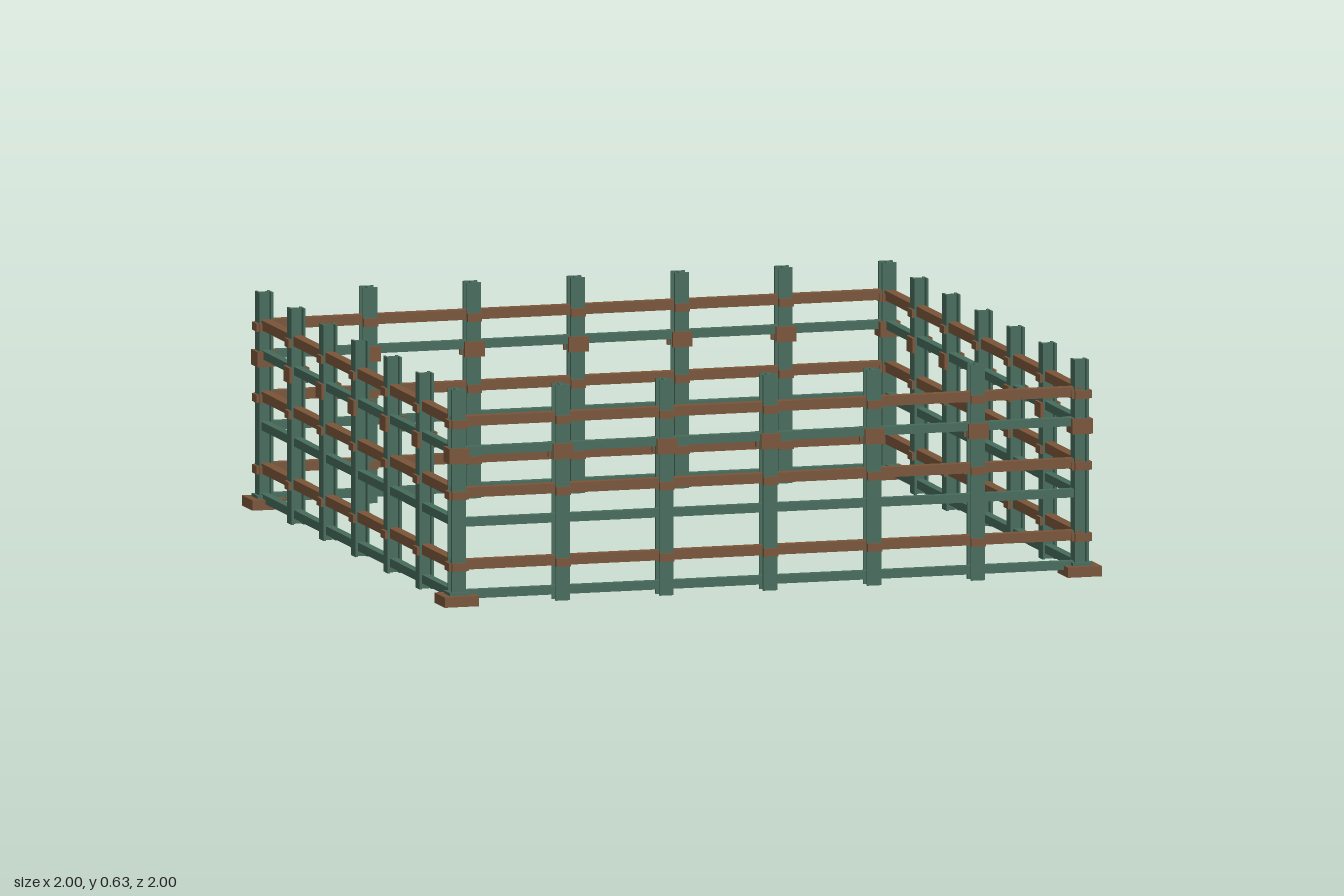
import * as THREE from 'three';

const green = new THREE.MeshStandardMaterial({ name: 'green paint', color: 0x456b5b });
const brown = new THREE.MeshStandardMaterial({ name: 'rust brown', color: 0x7a5438 });

const HALF = 0.948;       // distance from centre to each fence line
const STEP = HALF / 3;    // post spacing
const POST = 0.043;       // post section size
const POST_H = 0.635;

function box(name, mat, w, h, d, x, y, z) {
  const mesh = new THREE.Mesh(new THREE.BoxGeometry(w, h, d), mat);
  mesh.name = name;
  mesh.position.set(x, y, z);
  return mesh;
}

// H-section post with its flanges facing along z
function makePost() {
  const a = POST / 2, t = 0.007, w = 0.0045;
  const s = new THREE.Shape([
    [-a, -a], [a, -a], [a, -a + t], [w, -a + t], [w, a - t], [a, a - t],
    [a, a], [-a, a], [-a, a - t], [-w, a - t], [-w, -a + t], [-a, -a + t],
  ].map(([x, y]) => new THREE.Vector2(x, y)));
  const geo = new THREE.ExtrudeGeometry(s, { depth: POST_H, bevelEnabled: false });
  geo.rotateX(-Math.PI / 2);
  const post = new THREE.Mesh(geo, green);
  post.name = 'post';
  return post;
}

// Clamp plates on the outer and inner flange of a post
function addClamps(parent, x) {
  for (const side of [-1, 1]) {
    const z = side * (POST / 2 + 0.004);
    for (const y of [0.533, 0.323, 0.113]) {
      parent.add(box('railClamp', brown, 0.044, 0.024, 0.009, x, y, z));
    }
    parent.add(box('wideClamp', brown, 0.06, 0.045, 0.01, x, 0.44, z));
  }
}

// One straight side: rails, posts and clamps
function makeSide() {
  const side = new THREE.Group();
  side.name = 'fenceSide';
  for (const y of [0.54, 0.33, 0.118]) {
    side.add(box('brownRail', brown, 2 * HALF, 0.029, 0.03, 0, y, 0));
  }
  for (const y of [0.452, 0.242, 0.03]) {
    side.add(box('greenRail', green, 2 * HALF, 0.025, 0.025, 0, y, 0));
  }
  for (let i = -3; i <= 3; i++) {
    if (i < 3) {
      const post = makePost();
      post.position.x = i * STEP;
      side.add(post);
    }
    addClamps(side, i * STEP);
  }
  // Corner foot plate, shared with the neighbouring side
  side.add(box('footPlate', brown, 0.104, 0.03, 0.104, -HALF, 0.015, 0));
  side.add(box('footCollar', green, 0.06, 0.01, 0.06, -HALF, 0.034, 0));
  return side;
}

export function createModel() {
  const model = new THREE.Group();
  model.name = 'fencePen';
  for (let k = 0; k < 4; k++) {
    const side = makeSide();
    const angle = k * Math.PI / 2;
    side.rotation.y = angle;
    side.position.set(Math.sin(angle) * HALF, 0, Math.cos(angle) * HALF);
    model.add(side);
  }
  return model;
}
